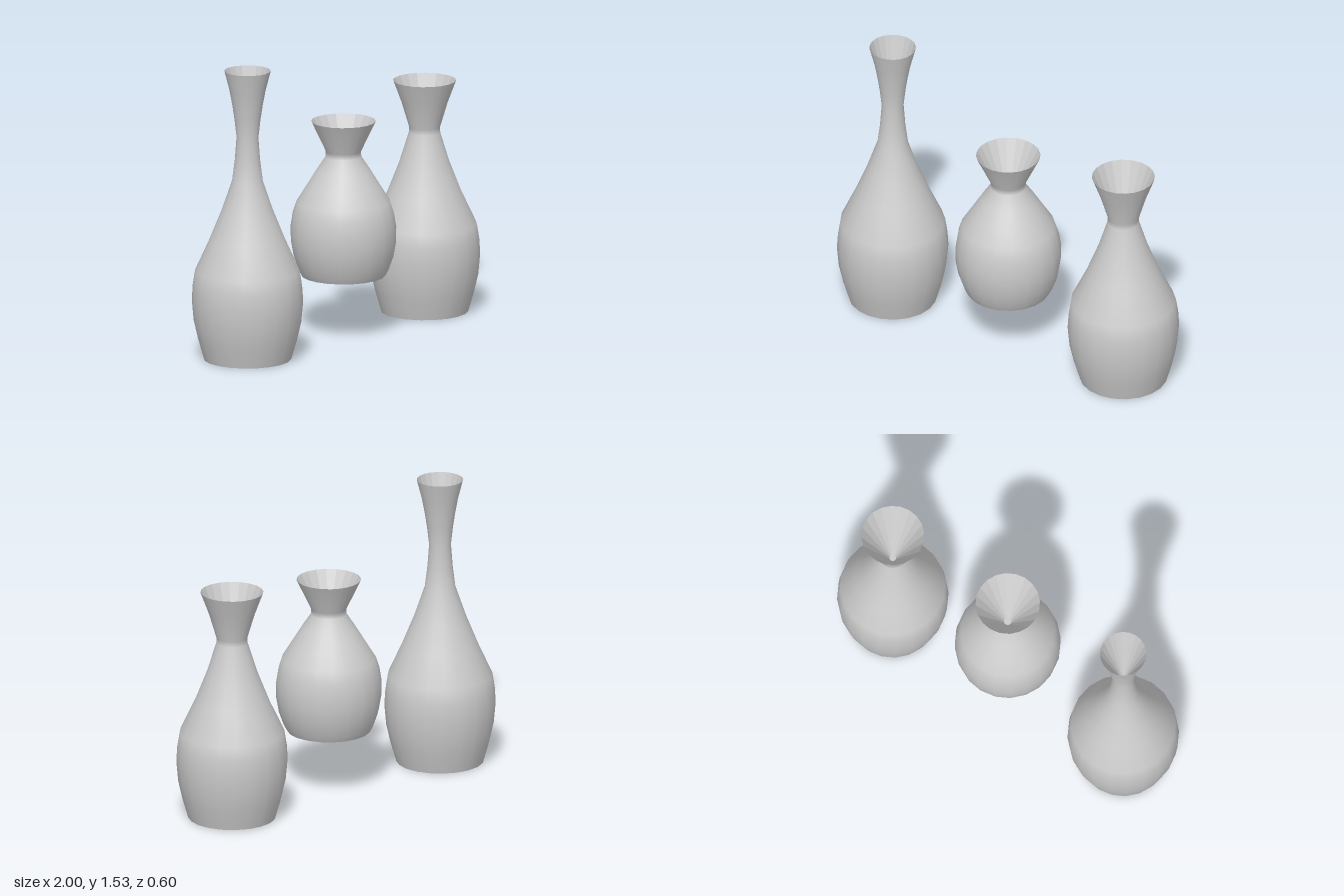
import * as THREE from 'three';

const SIDES = 20;

// profile: [radius, height] from the foot up to the rim
const VASES = [
  {
    name: 'tallVase', x: -0.71, z: -0.01, funnelDepth: 0.38, funnelTip: 0.006,
    profile: [[0.228, 0], [0.257, 0.1], [0.28, 0.2], [0.29, 0.31], [0.285, 0.39], [0.273, 0.47], [0.2, 0.63],
      [0.135, 0.79], [0.08, 0.95], [0.066, 1.06], [0.057, 1.18], [0.067, 1.27], [0.079, 1.35], [0.094, 1.43], [0.121, 1.535]],
  },
  {
    name: 'smallVase', x: 0.022, z: 0.022, funnelDepth: 0.27, funnelTip: 0.02,
    profile: [[0.218, 0.318], [0.235, 0.35], [0.26, 0.42], [0.274, 0.5], [0.275, 0.58], [0.264, 0.65], [0.245, 0.71],
      [0.195, 0.79], [0.14, 0.88], [0.093, 0.95], [0.092, 0.98], [0.168, 1.14]],
  },
  {
    name: 'mediumVase', x: 0.71, z: -0.01, funnelDepth: 0.34, funnelTip: 0.017,
    profile: [[0.228, 0], [0.257, 0.1], [0.28, 0.2], [0.29, 0.31], [0.285, 0.39], [0.273, 0.465], [0.195, 0.63],
      [0.132, 0.79], [0.082, 0.95], [0.081, 0.98], [0.12, 1.11], [0.164, 1.228]],
  },
];

const lathe = (points) =>
  new THREE.LatheGeometry(points.map(([r, y]) => new THREE.Vector2(r, y)), SIDES);

function disc(radius, y, facing) {
  const geometry = new THREE.CircleGeometry(radius, SIDES);
  return geometry.rotateX(-facing * Math.PI / 2).translate(0, y, 0);
}

function createVase({ name, x, z, profile, funnelDepth, funnelTip }) {
  const vase = new THREE.Group();
  vase.name = name;
  vase.position.set(x, 0, z);

  const smooth = new THREE.MeshStandardMaterial({ color: 0xcccccc });
  const faceted = new THREE.MeshStandardMaterial({ color: 0xcccccc, flatShading: true });
  const add = (part, geometry, material) => {
    const mesh = new THREE.Mesh(geometry, material);
    mesh.name = part;
    vase.add(mesh);
  };

  const [footRadius, footY] = profile[0];
  const [rimRadius, rimY] = profile[profile.length - 1];
  const floorY = rimY - funnelDepth;

  // outer wall and flat foot
  add('body', lathe(profile), smooth);
  add('foot', disc(footRadius, footY, -1), faceted);
  // mouth narrowing down inside the neck to a tiny floor
  add('mouth', lathe([[rimRadius, rimY], [funnelTip, floorY]]), faceted);
  add('mouthFloor', disc(funnelTip, floorY, 1), faceted);
  return vase;
}

export function createModel() {
  const model = new THREE.Group();
  model.name = 'vaseSet';
  for (const spec of VASES) model.add(createVase(spec));
  return model;
}
